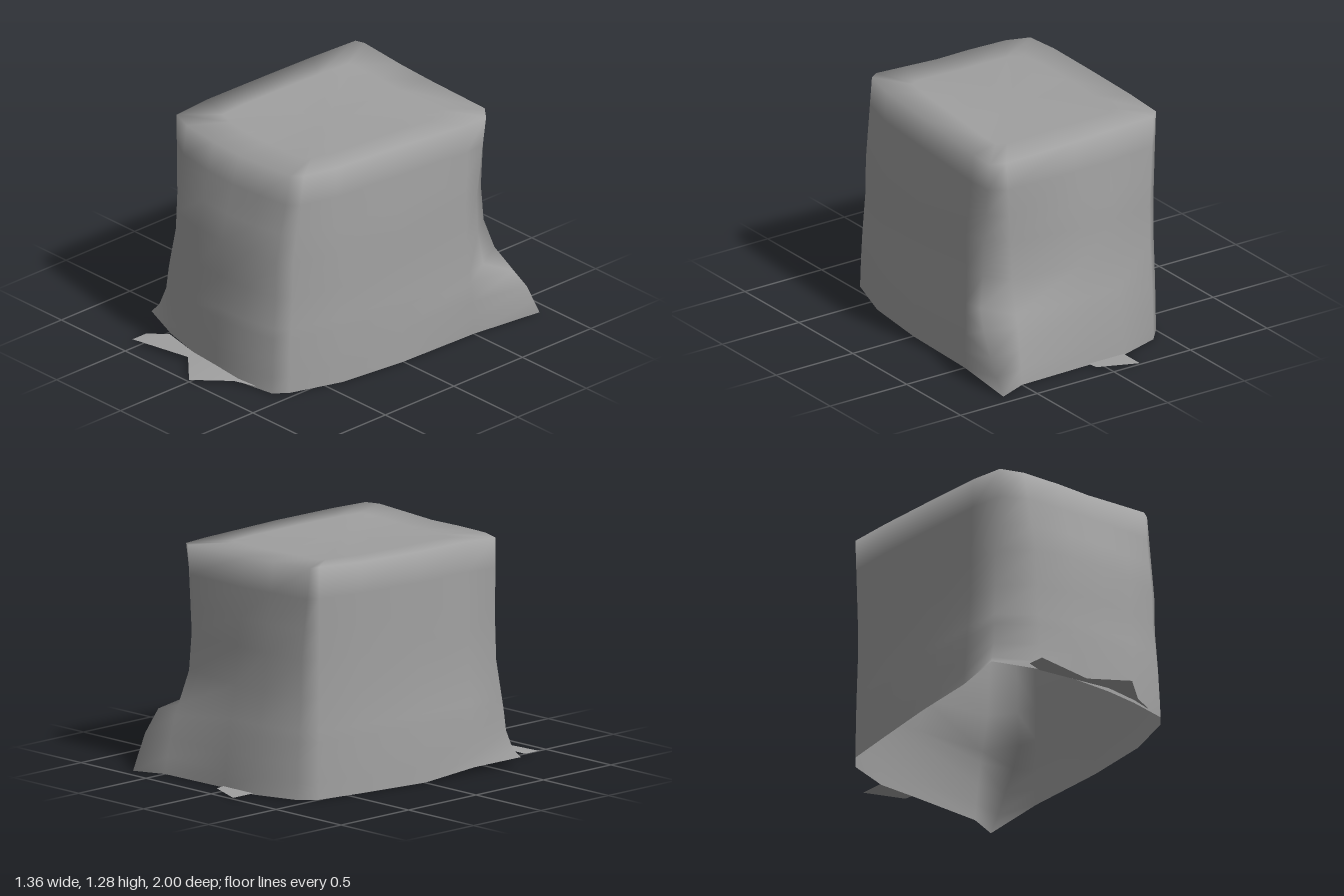
import * as THREE from 'three';

const cloth = new THREE.MeshStandardMaterial({ color: 0xa0a0a0, side: THREE.DoubleSide });
cloth.name = 'grey cloth';

// Plan outlines (x, z), counter-clockwise from the front corner at -x
const hem = [
  [-0.63, 0.6], [-0.42, 0.74], [-0.2, 0.785], [0, 0.81], [0.18, 0.81], [0.4, 0.77], [0.46, 0.7],
  [0.56, 0.4], [0.605, 0], [0.62, -0.5], [0.62, -0.62], [0.5, -0.86], [0.05, -0.85], [-0.17, -0.85],
  [-0.42, -0.77], [-0.5, -0.68], [-0.55, -0.4], [-0.615, 0], [-0.625, 0.35],
];
const waist = [
  [-0.575, 0.55], [-0.42, 0.7], [-0.2, 0.75], [0, 0.765], [0.2, 0.755], [0.38, 0.72], [0.45, 0.66],
  [0.53, 0.4], [0.57, 0], [0.59, -0.47], [0.555, -0.58], [0.46, -0.7], [0.05, -0.76], [-0.17, -0.76],
  [-0.42, -0.735], [-0.49, -0.67], [-0.53, -0.4], [-0.565, 0], [-0.575, 0.35],
];
// The top edge also has heights (x, y, z)
const crown = [
  [-0.56, 1.25, 0.57], [-0.43, 1.25, 0.615], [-0.2, 1.245, 0.635], [0, 1.24, 0.64], [0.2, 1.25, 0.64],
  [0.4, 1.262, 0.635], [0.46, 1.268, 0.59], [0.5, 1.262, 0.4], [0.53, 1.255, 0], [0.565, 1.235, -0.5],
  [0.56, 1.23, -0.645], [0.49, 1.24, -0.7], [0.05, 1.25, -0.7], [-0.17, 1.26, -0.7],
  [-0.46, 1.275, -0.71], [-0.5, 1.285, -0.68], [-0.535, 1.272, -0.4], [-0.555, 1.265, 0], [-0.56, 1.265, 0.35],
];

// Hem corners that kick outwards: x, z for the lowest rows
const kicks = {
  0: [[-0.68, 0.64], [-0.65, 0.61]],
  10: [[0.672, -0.93], [0.68, -0.88], [0.682, -0.83], [0.67, -0.745]],
};

// Height of the hem rises towards the front corner at -x
const hemY = (x, z) => 0.008 + 0.047 * THREE.MathUtils.smoothstep(z - x, 0.5, 1.3);

// Rows between hem and waist: height and blend
const lowerRows = [[0, 0], [0.1, 0.08], [0.2, 0.2], [0.32, 0.38], [0.38, 0.5], [0.56, 0.9], [0.77, 1]];
// Blends between waist and crown
const upperRows = [0.32, 0.66, 1];

// Side rows, then shrinking rows that close the top
function coverRows() {
  const { lerp } = THREE.MathUtils;
  const rows = lowerRows.map(([y, t], j) => hem.map(([hx, hz], i) => {
    const [x, z] = kicks[i]?.[j] ?? [lerp(hx, waist[i][0], t), lerp(hz, waist[i][1], t)];
    return new THREE.Vector3(x, Math.max(y, hemY(x, z)), z);
  }));
  for (const t of upperRows) {
    rows.push(crown.map(([x, y, z], i) =>
      new THREE.Vector3(lerp(waist[i][0], x, t), lerp(0.77, y, t), lerp(waist[i][1], z, t))));
  }
  for (const s of [0.7, 0.36, 0]) {
    rows.push(crown.map(([x, y, z]) =>
      new THREE.Vector3(x * s, lerp(1.255, y, s * s), lerp(-0.03, z, s))));
  }
  return rows;
}

// Skin the rows, ending in a single point
function skin(rows) {
  const n = rows[0].length, bands = rows.length - 2, tip = (rows.length - 1) * n;
  const pts = [...rows.slice(0, -1).flat(), rows[rows.length - 1][0]];
  const idx = [];
  for (let j = 0; j <= bands; j++) {
    for (let i = 0; i < n; i++) {
      const a = j * n + i, b = j * n + ((i + 1) % n);
      if (j === bands) idx.push(a, b, tip);
      else idx.push(a, b, b + n, a, b + n, a + n);
    }
  }
  const g = new THREE.BufferGeometry().setFromPoints(pts);
  g.setIndex(idx);
  g.computeVertexNormals();
  return g;
}

// Scrap of hem lying on the ground: a fan of x, y, z points
function hemScrap(points) {
  const g = new THREE.BufferGeometry().setFromPoints(points.map((p) => new THREE.Vector3(...p)));
  const idx = [];
  for (let i = 1; i < points.length - 1; i++) idx.push(0, i, i + 1);
  g.setIndex(idx);
  g.computeVertexNormals();
  return g;
}

export function createModel() {
  const group = new THREE.Group();
  group.name = 'drapedCover';
  const add = (name, geometry) => {
    const mesh = new THREE.Mesh(geometry, cloth);
    mesh.name = name;
    group.add(mesh);
  };
  add('cover', skin(coverRows()));
  add('frontHemPoint', hemScrap([
    [0, 0.045, 0.808], [-0.2, 0.04, 0.785], [-0.18, 0.035, 0.84], [0, 0.02, 1.0], [0.18, 0.025, 0.84], [0.3, 0.02, 0.79],
  ]));
  add('frontHemStrip', hemScrap([
    [-0.43, 0.045, 0.74], [-0.55, 0.025, 0.8], [-0.55, 0.025, 0.9], [-0.18, 0.035, 0.84], [-0.2, 0.04, 0.785],
  ]));
  add('backHemScrap', hemScrap([
    [0.06, 0.015, -0.85], [0.05, 0.015, -0.91], [-0.17, 0.015, -1.0], [-0.17, 0.015, -0.85],
  ]));
  return group;
}
